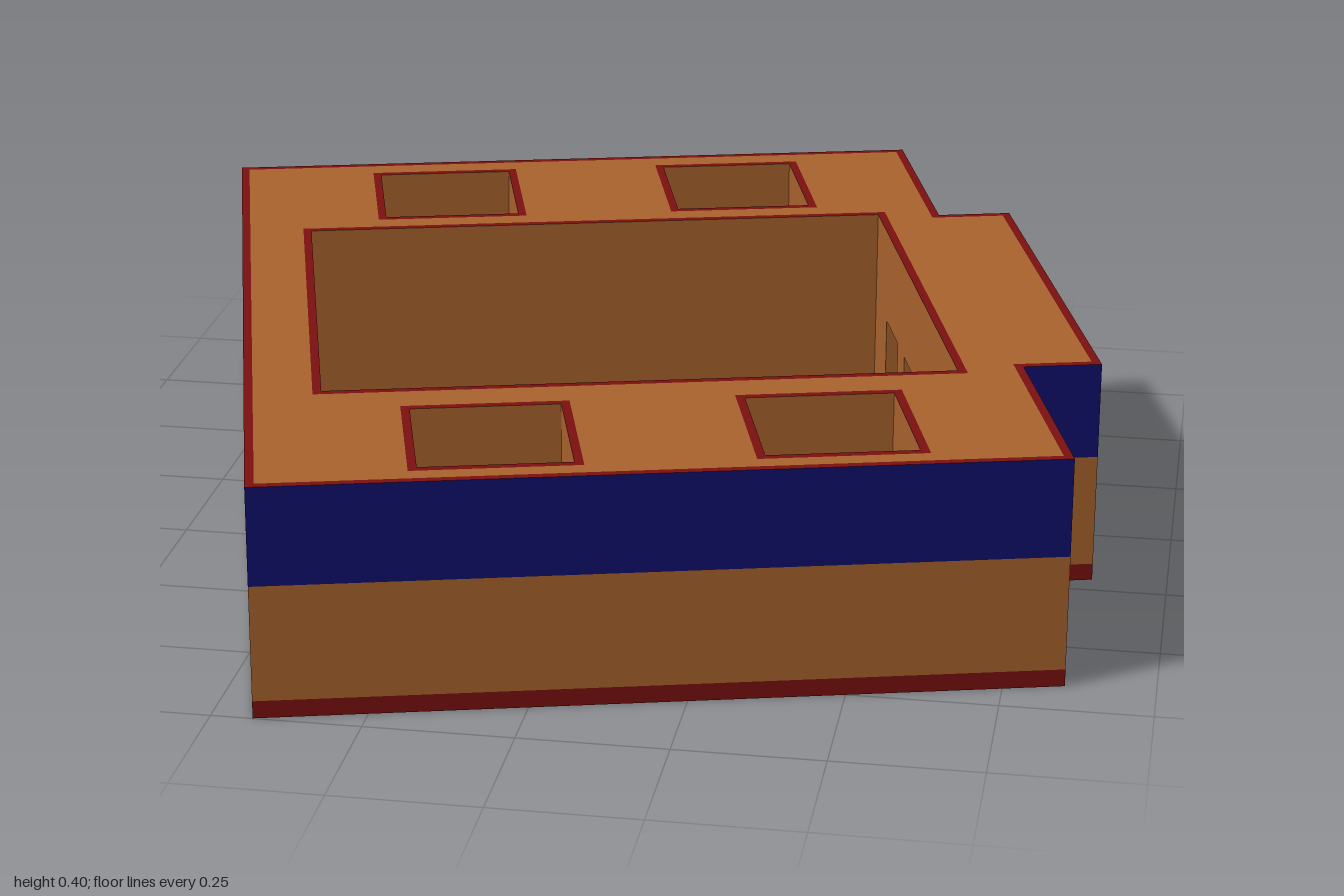
import * as THREE from 'three';

const T = 0.015; // wall thickness
const TOP = 0.4, MID = 0.23, BASE = 0.03;
const mat = (color) => new THREE.MeshStandardMaterial({ color, side: THREE.DoubleSide });

// Plan points are [x, z]
const rect = (x0, x1, z0, z1) => [[x0, z0], [x1, z0], [x1, z1], [x0, z1]];
const toVectors = (pts) => pts.map(([x, z]) => new THREE.Vector2(x, -z));

// Move every edge of a right-angled outline inward by d (outward if negative)
function inset(pts, d) {
  const v = toVectors(pts);
  const s = THREE.ShapeUtils.isClockWise(v) ? -d : d;
  const n = v.length;
  return v.map((p, i) => {
    const e0 = p.clone().sub(v[(i + n - 1) % n]).normalize();
    const e1 = v[(i + 1) % n].clone().sub(p).normalize();
    return [p.x - s * (e0.y + e1.y), -(p.y + s * (e0.x + e1.x))];
  });
}

// Upright prism over a plan outline with holes
function prism(name, outline, holes, y0, y1, caps, sides) {
  const shape = new THREE.Shape(toVectors(outline));
  holes.forEach((h) => shape.holes.push(new THREE.Path(toVectors(h))));
  const geo = new THREE.ExtrudeGeometry(shape, { depth: y1 - y0, bevelEnabled: false });
  geo.rotateX(-Math.PI / 2).translate(0, y0, 0);
  const mesh = new THREE.Mesh(geo, [caps, sides]);
  mesh.name = name;
  return mesh;
}

export function createModel() {
  const model = new THREE.Group();
  model.name = 'courtyardBuilding';
  const brown = mat(0xaa642d), blue = mat(0x101070), red = mat(0x7d1010);
  const add = (...args) => model.add(prism(...args));

  // Plan dimensions
  const L = -0.674, R = 0.652, P = 0.788, B = -0.86, F = 0.854;
  const pb = -0.428, pf = 0.422; // projecting bay, back and front
  const cl = -0.544, cr = 0.537, cb = -0.441, cf = 0.429; // courtyard
  const pier = 0.312; // inner faces of the end piers

  const outline = [[L, F], [R, F], [R, pf], [P, pf], [P, pb], [R, pb], [R, B], [L, B]];
  const courtyard = rect(cl, cr, cb, cf);
  const shafts = [];
  for (const [x0, x1] of [[-0.4, -0.148], [0.16, 0.412]]) {
    shafts.push(rect(x0, x1, -0.785, -0.513), rect(x0, x1, 0.528, 0.792));
  }

  // Roof slab inside the red wall tops
  const openings = [courtyard, ...shafts];
  add('roof', inset(outline, T), openings.map((o) => inset(o, -T)), TOP - 0.01, TOP, brown, brown);

  // Upper outer band and courtyard wall
  add('upperBand', outline, [inset(outline, T)], MID, TOP, red, blue);
  add('courtyardUpperWall', inset(courtyard, -T), [courtyard], MID, TOP, red, brown);

  // Light shafts hanging from the roof
  shafts.forEach((s) => {
    add('lightShaft', inset(s, -T), [s], 0, TOP - 0.01, brown, brown);
    add('lightShaftRim', inset(s, -T), [s], TOP - 0.01, TOP, red, brown);
  });

  // Hollow lower walls: three wings ending in piers, and two free piers
  const wings = [
    [L, F], [R, F], [R, pf], [P, pf], [P, pier], [cr, pier], [cr, cf], [cl, cf],
    [cl, cb], [cr, cb], [cr, -pier], [P, -pier], [P, pb], [R, pb], [R, B], [L, B],
  ];
  const plans = { wing: wings, frontPier: rect(cr, P, 0.108, 0.185), backPier: rect(cr, P, -0.182, -0.108) };
  for (const [name, plan] of Object.entries(plans)) {
    const inner = [inset(plan, T)];
    add(name + 'Walls', plan, inner, BASE, MID, brown, brown);
    add(name + 'Base', plan, inner, 0, BASE, red, red);
  }

  // Ceilings of the three arcade openings
  for (const [z0, z1] of [[-pier, -0.182], [-0.108, 0.108], [0.185, pier]]) {
    add('arcadeCeiling', rect(cr + 0.001, P - 0.001, z0, z1), [], MID - 0.002, MID + 0.006, brown, brown);
  }

  model.rotation.y = THREE.MathUtils.degToRad(15);
  const root = new THREE.Group();
  root.name = 'building';
  root.add(model);
  return root;
}
